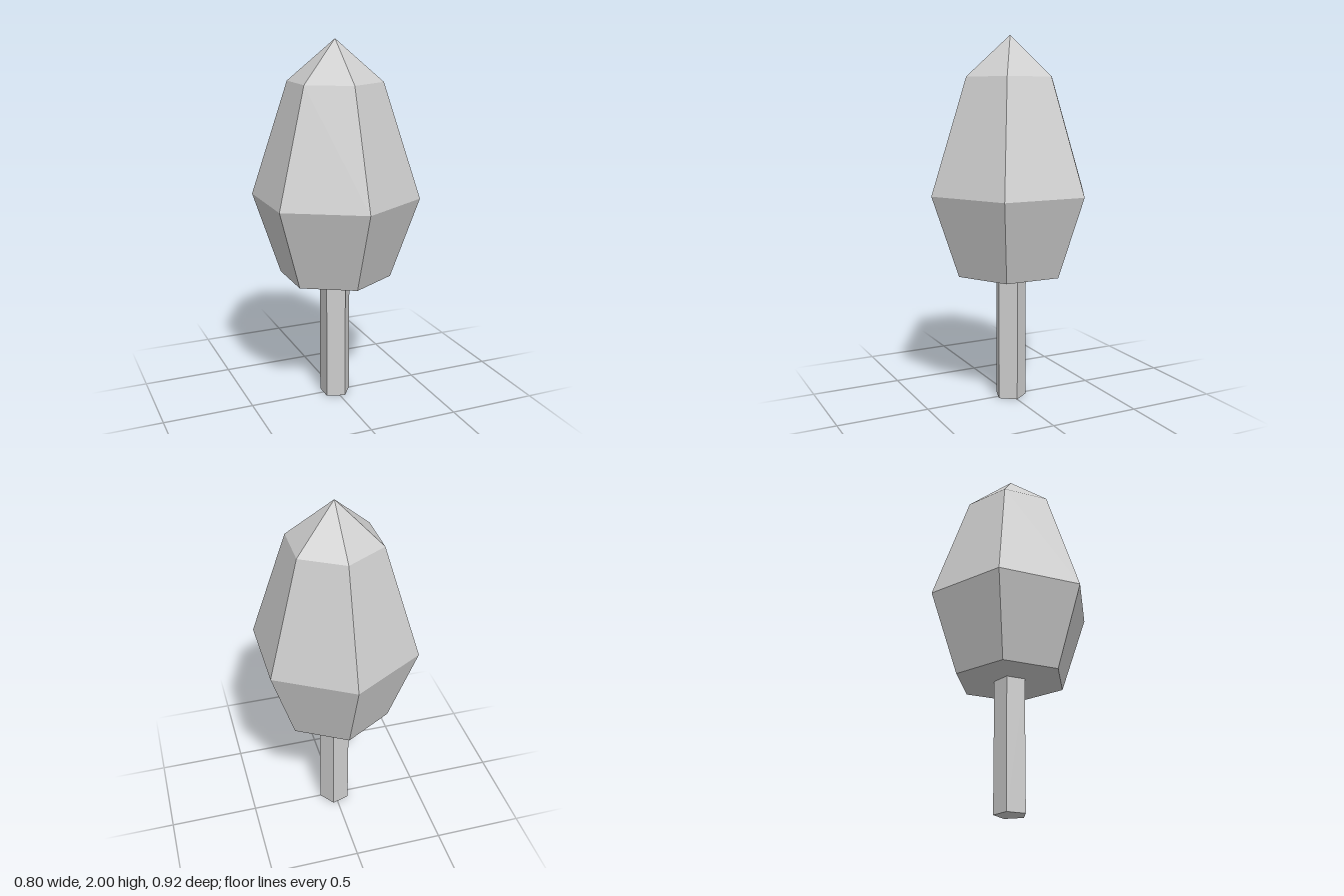
import * as THREE from 'three';

export function createModel() {
  const group = new THREE.Group();
  group.name = 'tree';
  const paleGrey = new THREE.MeshStandardMaterial({ color: 0xcccccc, flatShading: true });
  paleGrey.name = 'pale grey';

  // Six-sided crown, closed underneath and pointed at the top
  const profile = [[0, 0.715], [0.308, 0.715], [0.461, 1.16], [0.257, 1.78], [0, 2]]
    .map(([r, y]) => new THREE.Vector2(r, y));
  const crown = new THREE.Mesh(new THREE.LatheGeometry(profile, 6), paleGrey);
  crown.name = 'crown';

  // Five-sided trunk with one corner facing +x
  const trunkHeight = 0.72;
  const trunk = new THREE.Mesh(
    new THREE.CylinderGeometry(0.088, 0.088, trunkHeight, 5, 1, false, Math.PI / 2),
    paleGrey
  );
  trunk.position.y = trunkHeight / 2;
  trunk.name = 'trunk';

  group.add(crown, trunk);
  return group;
}
